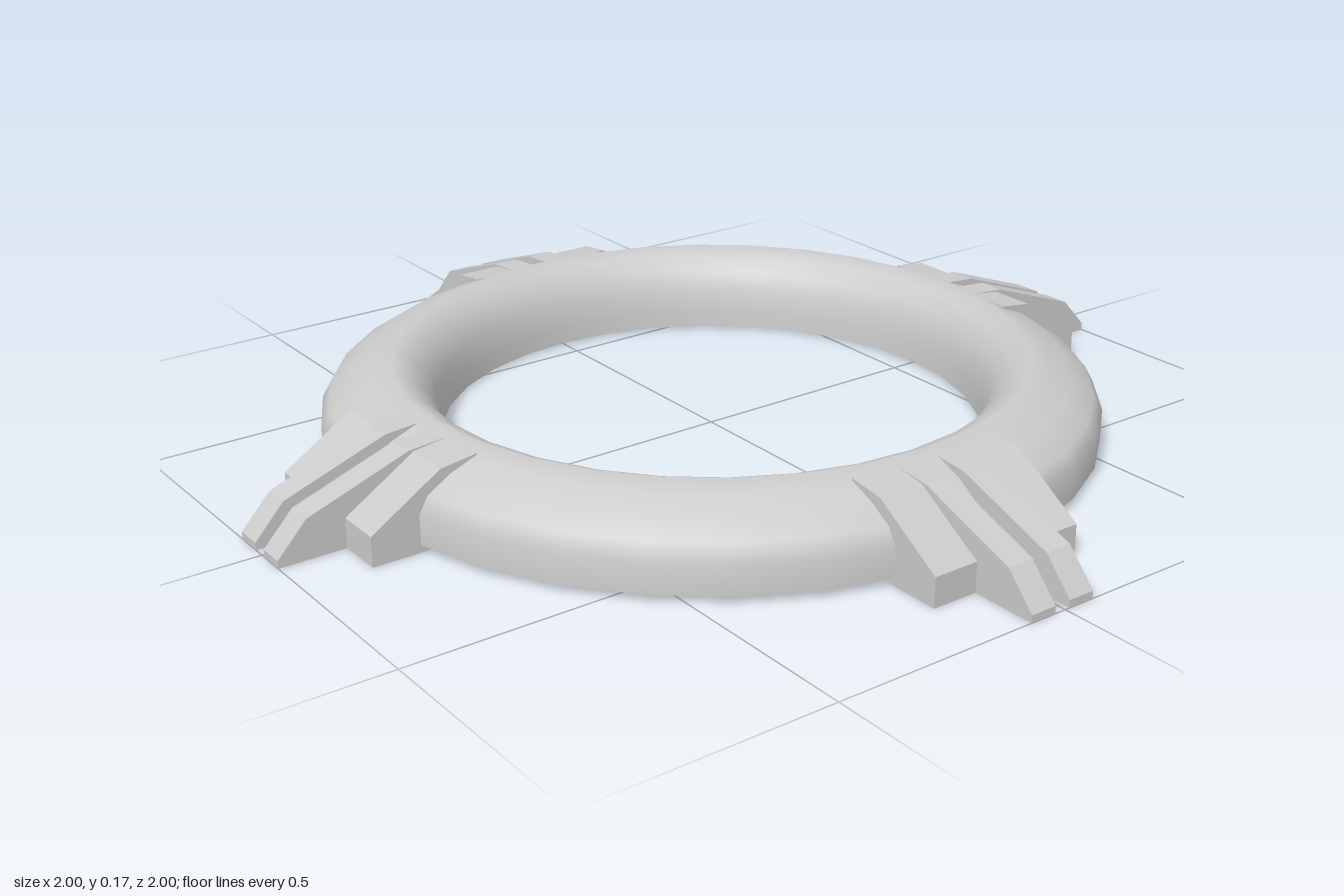
import * as THREE from 'three';

const material = new THREE.MeshStandardMaterial({ color: 0xcccccc, side: THREE.DoubleSide });
const clawMaterial = new THREE.MeshStandardMaterial({ color: 0xcccccc, flatShading: true });

// Side profile (radius, height) extruded to a slab between two sideways positions
function slab(name, profile, from, to) {
  const shape = new THREE.Shape(profile.map(([r, y]) => new THREE.Vector2(r, y)));
  const geometry = new THREE.ExtrudeGeometry(shape, { depth: to - from, bevelEnabled: false });
  geometry.translate(0, 0, from);
  geometry.rotateY(-Math.PI / 2); // radius now points to +z
  const mesh = new THREE.Mesh(geometry, clawMaterial);
  mesh.name = name;
  return mesh;
}

export function createModel() {
  const model = new THREE.Group();
  model.name = 'clawedRing';

  // Hollow rounded ring, open underneath
  const profile = [
    [0.785, 0.015], [0.785, 0.075], [0.767, 0.108], [0.72, 0.138], [0.68, 0.154], [0.64, 0.17],
    [0.605, 0.155], [0.575, 0.125], [0.558, 0.085], [0.552, 0.04], [0.55, 0.004],
  ].map(([r, y]) => new THREE.Vector2(r, y));
  const ring = new THREE.Mesh(new THREE.LatheGeometry(profile, 32), material);
  ring.name = 'ring';
  model.add(ring);

  // Stepped claws: a broad short block beside a narrow long finger
  const broad = [[0.645, 0], [0.865, 0], [0.865, 0.06], [0.72, 0.152], [0.645, 0.162]];
  const finger = [[0.645, 0], [1, 0], [1, 0.015], [0.94, 0.08], [0.73, 0.155], [0.645, 0.162]];
  for (let i = 0; i < 4; i++) {
    const claw = new THREE.Group();
    claw.name = ['frontClaw', 'leftClaw', 'backClaw', 'rightClaw'][i];
    for (const side of [-1, 1]) {
      const shift = -0.007;
      const span = (a, b) => [side * a, side * b].sort((p, q) => p - q);
      const [b0, b1] = span(0.073, 0.169);
      const [f0, f1] = span(0.017, 0.073);
      // extrusion runs toward -x after turning, so the sideways shift is negated
      claw.add(slab('broadBlock', broad, b0 - shift, b1 - shift));
      claw.add(slab('narrowFinger', finger, f0 - shift, f1 - shift));
    }
    claw.rotation.y = (i * Math.PI) / 2;
    model.add(claw);
  }
  return model;
}
